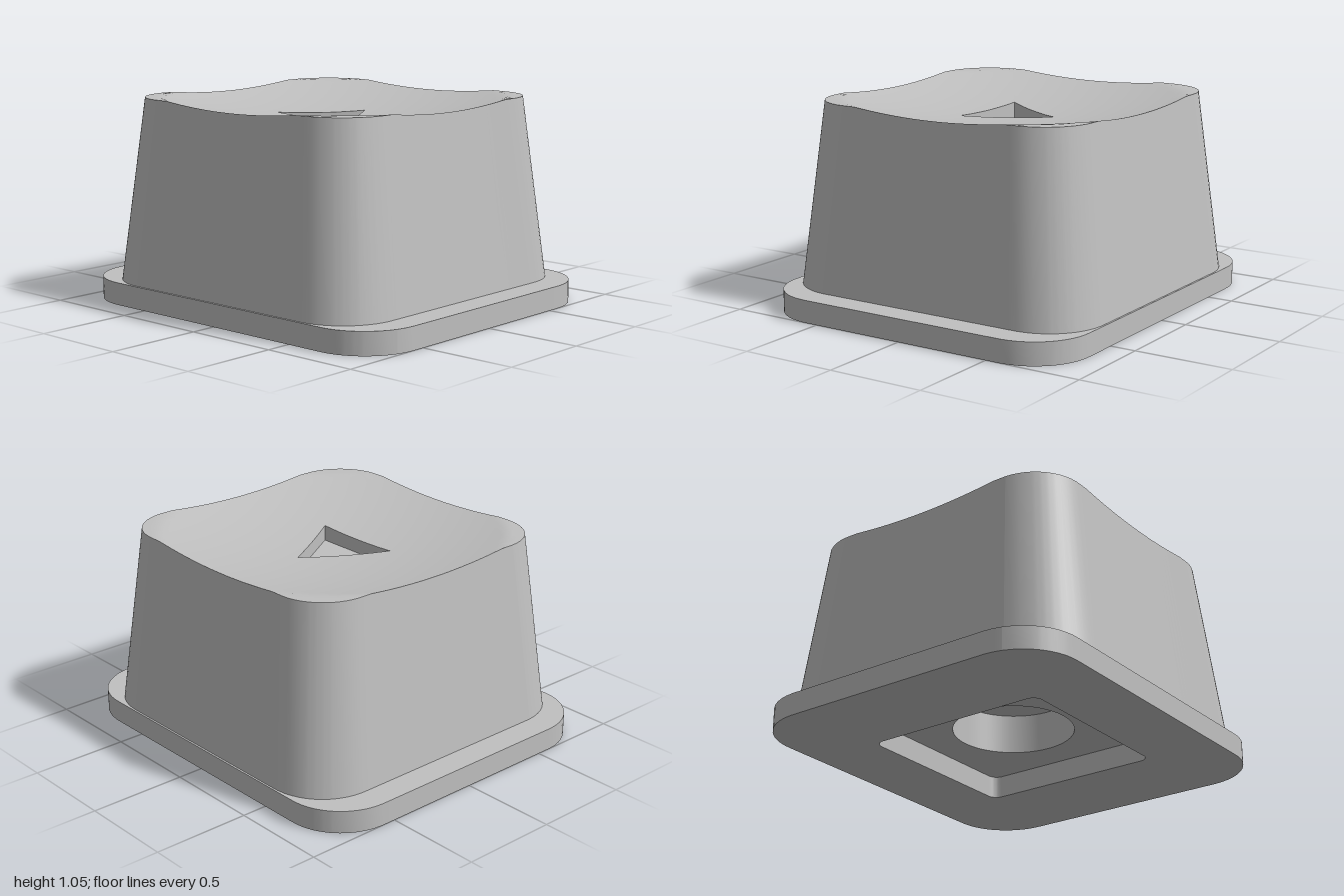
import * as THREE from 'three';

// Corners of the play-triangle recess as [x, z]
const TRI = [[0.23, 0], [-0.165, 0.245], [-0.165, -0.245]];
const FLANGE_TOP = 0.115, HOLE_TOP = 0.32, TRI_FLOOR = 0.88;

// Shared ray angles: even steps, extra ones at the tight corners and triangle tips
const angles = [];
for (let i = 0; i < 180; i++) angles.push((i * Math.PI) / 90);
for (let q = 0; q < 4; q++) {
  for (let d = -3.5; d <= 3.5; d += 1) angles.push(((45 + 90 * q + d) * Math.PI) / 180 + 0.001);
}
for (const [x, z] of TRI.slice(1)) angles.push((Math.atan2(z, x) + 2 * Math.PI) % (2 * Math.PI));
angles.sort((a, b) => a - b);

// Distance from the axis to each outline along a ray
const circle = (r) => () => r;

const roundedRect = (hx, hz, r) => (a) => {
  const c = Math.abs(Math.cos(a)), s = Math.abs(Math.sin(a));
  const t = Math.min(hx / Math.max(c, 1e-9), hz / Math.max(s, 1e-9));
  const cx = hx - r, cz = hz - r;
  if (t * c <= cx || t * s <= cz) return t;
  const dot = c * cx + s * cz;
  return dot + Math.sqrt(dot * dot - cx * cx - cz * cz + r * r);
};

const triangle = (a) => {
  let best = Infinity;
  TRI.forEach(([x0, z0], i) => {
    const [x1, z1] = TRI[(i + 1) % 3];
    const nx = z1 - z0, nz = x0 - x1;
    const along = nx * Math.cos(a) + nz * Math.sin(a);
    if (along > 1e-9) best = Math.min(best, (nx * x0 + nz * z0) / along);
  });
  return best;
};

// Height of the dished top, flat beyond the dish rim
const dish = (r) => 1.05 - Math.max(0, 0.87 * 0.87 - r * r) / 7.48;

// Ring of points on an outline; y is a number or a function of radius
const ring = (outline, y) => angles.map((a) => {
  const r = outline(a);
  return [r * Math.cos(a), typeof y === 'function' ? y(r) : y, r * Math.sin(a)];
});

// Closed skin joining successive rings
function loft(rings) {
  const n = angles.length, index = [];
  for (let k = 0; k < rings.length - 1; k++) {
    for (let i = 0; i < n; i++) {
      const j = (i + 1) % n, a = k * n, b = a + n;
      index.push(a + i, b + i, b + j, a + i, b + j, a + j);
    }
  }
  const geo = new THREE.BufferGeometry();
  geo.setAttribute('position', new THREE.Float32BufferAttribute(rings.flat(2), 3));
  geo.setIndex(index);
  return geo;
}

export function createModel() {
  const group = new THREE.Group();
  const grey = new THREE.MeshStandardMaterial({ color: 0xc0c0c0 });
  grey.name = 'grey plastic';

  const add = (name, rings, flat = false) => {
    let geo = loft(rings);
    if (flat) geo = geo.toNonIndexed();
    geo.computeVertexNormals();
    const mesh = new THREE.Mesh(geo, grey);
    mesh.name = name;
    group.add(mesh);
  };

  const hole = circle(0.306), centre = circle(0.0005);
  const recess = roundedRect(0.49, 0.49, 0.05);
  const flange = roundedRect(0.87, 1, 0.3);
  const bodyBase = roundedRect(0.86, 0.86, 0.3);
  const bodyTop = roundedRect(0.755, 0.755, 0.26);

  // Underside: round socket inside a square recess
  add('socketCeiling', [ring(centre, HOLE_TOP), ring(hole, HOLE_TOP)]);
  add('socketWall', [ring(hole, HOLE_TOP), ring(hole, FLANGE_TOP)]);
  add('recessCeiling', [ring(hole, FLANGE_TOP), ring(recess, FLANGE_TOP)]);
  add('recessWall', [ring(recess, FLANGE_TOP), ring(recess, 0)]);

  // Base flange
  add('flangeUnderside', [ring(recess, 0), ring(flange, 0)]);
  add('flangeEdge', [ring(flange, 0), ring(flange, FLANGE_TOP)]);
  add('flangeTop', [ring(flange, FLANGE_TOP), ring(bodyBase, FLANGE_TOP)]);

  // Tapered body
  add('bodyWall', [ring(bodyBase, FLANGE_TOP), ring(bodyTop, dish)]);

  // Dished top, from the rim in to the triangle
  const topRings = [];
  for (let k = 0; k <= 24; k++) {
    const t = k / 24;
    topRings.push(ring((a) => bodyTop(a) * (1 - t) + triangle(a) * t, dish));
  }
  add('dishedTop', topRings);

  // Sunken triangle
  add('triangleWall', [ring(triangle, dish), ring(triangle, TRI_FLOOR)], true);
  add('triangleFloor', [ring(triangle, TRI_FLOOR), ring(centre, TRI_FLOOR)]);

  return group;
}
